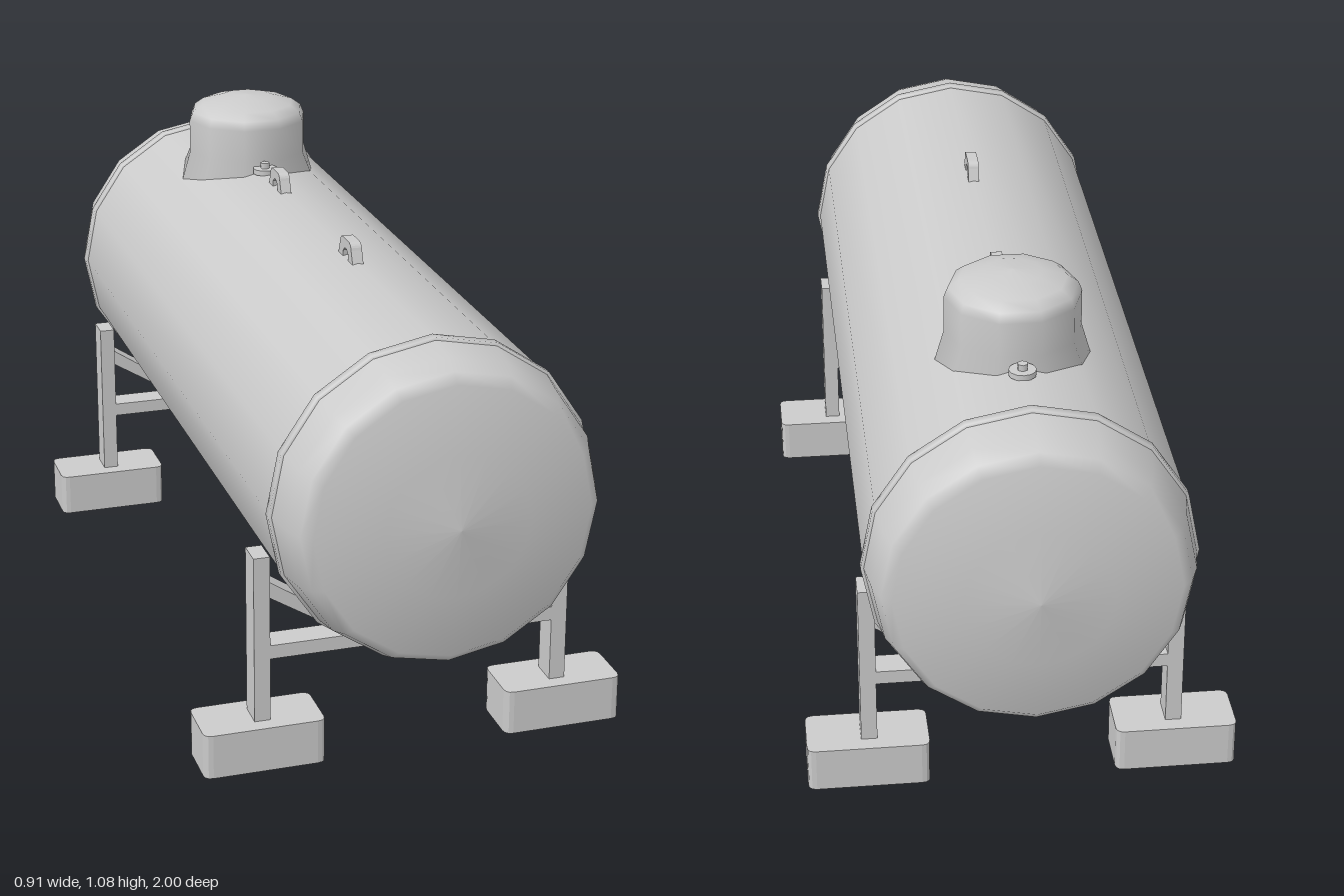
import * as THREE from 'three';

const material = new THREE.MeshStandardMaterial({ color: 0xcccccc, side: THREE.DoubleSide });
const AXIS_Y = 0.595, RADIUS = 0.331, SIDES = 16;

function add(parent, name, geometry, x = 0, y = 0, z = 0) {
  const mesh = new THREE.Mesh(geometry, material);
  mesh.name = name;
  mesh.position.set(x, y, z);
  parent.add(mesh);
  return mesh;
}

const points = (list) => list.map(([x, y]) => new THREE.Vector2(x, y));

// Extrusion centred on its depth
function slab(shape, depth) {
  return new THREE.ExtrudeGeometry(shape, { depth, bevelEnabled: false, curveSegments: 5 })
    .translate(0, 0, -depth / 2);
}

// Height of the faceted shell's upper surface at a given x
function shellTop(x) {
  const step = (2 * Math.PI) / SIDES;
  const a = Math.asin(Math.min(1, Math.abs(x) / RADIUS));
  const mid = (Math.floor(a / step) + 0.5) * step;
  const apothem = RADIUS * Math.cos(step / 2);
  return AXIS_Y + (apothem - Math.abs(x) * Math.sin(mid)) / Math.cos(mid);
}

// Long shell with shallow domed ends
function shellGeometry() {
  const half = [[0, 1], [0.15, 0.982], [0.285, 0.96], [0.305, 0.94], [0.32, 0.9], [RADIUS, 0.83], [RADIUS, 0.8]];
  const profile = [...half.map(([r, z]) => [r, -z]), ...half.slice().reverse()];
  return new THREE.LatheGeometry(points(profile), SIDES).rotateX(Math.PI / 2);
}

// Hatch dome whose flared skirt follows the shell
function hatchGeometry() {
  const profile = [[0.16, 0], [0.14, 0.945], [0.14, 1.02], [0.132, 1.04], [0.11, 1.056], [0.06, 1.07], [0, 1.075]];
  const geo = new THREE.LatheGeometry(points(profile), 10, Math.PI / 2);
  const pos = geo.attributes.position;
  for (let i = 0; i < pos.count; i++) {
    if (pos.getY(i) < 0.5) pos.setY(i, shellTop(pos.getX(i)) - 0.002);
  }
  return geo;
}

// Arched lifting lug with an opening
function lugGeometry() {
  const s = new THREE.Shape();
  s.moveTo(-0.05, 0);
  s.lineTo(-0.038, 0.03);
  s.quadraticCurveTo(-0.035, 0.045, -0.02, 0.045);
  s.lineTo(0.02, 0.045);
  s.quadraticCurveTo(0.035, 0.045, 0.038, 0.03);
  s.lineTo(0.05, 0);
  s.lineTo(0.018, 0);
  s.lineTo(0.016, 0.016);
  s.quadraticCurveTo(0, 0.034, -0.016, 0.016);
  s.lineTo(-0.018, 0);
  return slab(s, 0.024).rotateY(Math.PI / 2);
}

// Footing block with rounded upright edges and an open underside
function footGeometry(w, h, d, r) {
  const x = w / 2, y = d / 2, s = new THREE.Shape();
  s.moveTo(-x + r, -y);
  s.lineTo(x - r, -y);
  s.quadraticCurveTo(x, -y, x, -y + r);
  s.lineTo(x, y - r);
  s.quadraticCurveTo(x, y, x - r, y);
  s.lineTo(-x + r, y);
  s.quadraticCurveTo(-x, y, -x, y - r);
  s.lineTo(-x, -y + r);
  s.quadraticCurveTo(-x, -y, -x + r, -y);
  const geo = new THREE.ExtrudeGeometry(s, { depth: h, bevelEnabled: false, curveSegments: 3 });
  const skip = geo.groups[0].count / 2;
  const open = new THREE.BufferGeometry();
  for (const key of ['position', 'normal']) {
    open.setAttribute(key, new THREE.BufferAttribute(geo.attributes[key].array.slice(skip * 3), 3));
  }
  return open.rotateX(-Math.PI / 2);
}

// One support frame: two posts on footings, cross beam and braces
function supportFrame(z) {
  const frame = new THREE.Group();
  frame.name = 'supportFrame';
  frame.position.z = z;
  add(frame, 'crossBeam', new THREE.BoxGeometry(0.62, 0.03, 0.06), 0, 0.25, 0);
  for (const side of [-1, 1]) {
    add(frame, 'footing', footGeometry(0.257, 0.097, 0.128, 0.018), side * 0.325, 0, 0);
    add(frame, 'post', new THREE.BoxGeometry(0.034, 0.366, 0.06), side * 0.322, 0.279, 0);
    const brace = [[0.306, 0.405], [0.306, 0.37], [0.135, 0.264], [0.095, 0.264]];
    const shape = new THREE.Shape(points(brace.map(([x, y]) => [side * x, y])));
    add(frame, 'brace', slab(shape, 0.05));
  }
  return frame;
}

export function createModel() {
  const model = new THREE.Group();
  model.name = 'storageTank';

  add(model, 'shell', shellGeometry(), 0, AXIS_Y, 0);

  // Weld bands where the ends meet the shell
  for (const z of [-0.823, 0.823]) {
    const band = points([[0.325, -0.01], [0.337, -0.01], [0.337, 0.01], [0.325, 0.01]]);
    add(model, 'weldBand', new THREE.LatheGeometry(band, SIDES).rotateX(Math.PI / 2), 0, AXIS_Y, z);
  }

  add(model, 'hatchDome', hatchGeometry(), 0, 0, -0.51);

  // Bolted tabs fore and aft of the hatch
  for (const side of [-1, 1]) {
    const z = -0.515 + side * 0.16;
    add(model, 'hatchTab', new THREE.CylinderGeometry(0.028, 0.028, 0.012, 12), 0, 0.93, z);
    add(model, 'hatchBolt', new THREE.CylinderGeometry(0.011, 0.011, 0.014, 6), 0, 0.942, z);
  }

  for (const z of [0.3, -0.23]) add(model, 'liftingLug', lugGeometry(), 0, 0.921, z);

  for (const z of [0.7, -0.685]) model.add(supportFrame(z));
  return model;
}
